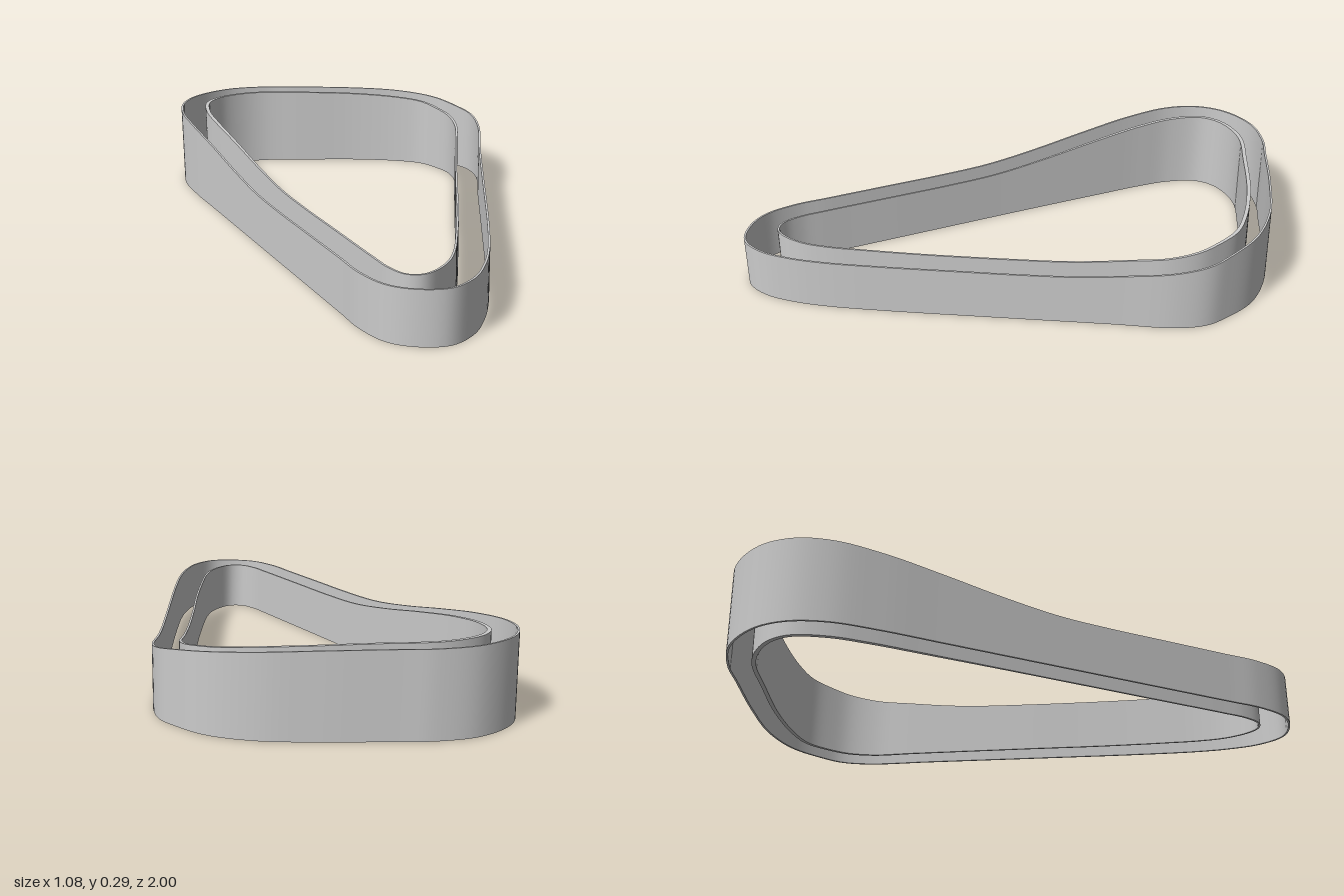
import * as THREE from 'three';

const STEPS = 240;

// Height of the top edge: level at the front, rising in an S-curve to the back
const PROFILE = [[-1, 0.29], [-0.8, 0.285], [-0.6, 0.268], [-0.4, 0.24], [-0.2, 0.208],
  [0, 0.184], [0.2, 0.178], [0.4, 0.178], [1, 0.178]];
const rise = new THREE.CatmullRomCurve3(PROFILE.map(([z, y]) => new THREE.Vector3(0, y, z)));
const riseSamples = rise.getPoints(200);
function topHeight(z) {
  const k = riseSamples.findIndex(p => p.z >= z);
  if (k < 0) return 0.178;
  if (k === 0) return 0.29;
  const a = riseSamples[k - 1], b = riseSamples[k];
  return THREE.MathUtils.mapLinear(z, a.z, b.z, a.y, b.y);
}

// Plan outlines as [x, z], running left side, back, right side, front
const OUTER = [[-0.54, 0.4], [-0.54, 0], [-0.54, -0.4], [-0.54, -0.61], [-0.527, -0.767], [-0.48, -0.884],
  [-0.394, -0.963], [-0.246, -1], [-0.103, -0.968], [0, -0.915], [0.2, -0.81], [0.373, -0.7],
  [0.48, -0.58], [0.526, -0.45], [0.538, -0.37], [0.51, -0.265], [0.4, -0.074], [0.198, 0.28],
  [0, 0.624], [-0.103, 0.79], [-0.18, 0.89], [-0.262, 0.965], [-0.357, 0.998], [-0.447, 0.962],
  [-0.512, 0.89], [-0.54, 0.77], [-0.54, 0.65]];
const INNER = [[-0.45, 0.4], [-0.45, 0], [-0.45, -0.4], [-0.449, -0.61], [-0.437, -0.74], [-0.394, -0.852],
  [-0.33, -0.9], [-0.24, -0.915], [-0.145, -0.9], [0, -0.83], [0.2, -0.725], [0.347, -0.62],
  [0.415, -0.545], [0.442, -0.45], [0.447, -0.375], [0.42, -0.28], [0.347, -0.16], [0.135, 0.2],
  [0, 0.435], [-0.13, 0.645], [-0.2, 0.75], [-0.262, 0.82], [-0.335, 0.865], [-0.384, 0.873],
  [-0.426, 0.847], [-0.447, 0.78], [-0.45, 0.68]];

// Thin closed wall: a four-cornered section swept around the outline
function wallGeometry(outline, thickness) {
  const curve = new THREE.CatmullRomCurve3(
    outline.map(([x, z]) => new THREE.Vector3(x, 0, z)), true, 'centripetal');
  const rails = [[], [], [], []];
  for (let i = 0; i < STEPS; i++) {
    const p = curve.getPointAt(i / STEPS);
    const t = curve.getTangentAt(i / STEPS);
    const w = thickness(p.z);
    const q = new THREE.Vector3(p.x - t.z * w, 0, p.z + t.x * w);
    const y = topHeight(p.z);
    rails[0].push(p);
    rails[1].push(p.clone().setY(y));
    rails[2].push(q.clone().setY(y));
    rails[3].push(q);
  }
  const positions = [], index = [];
  // Each face has its own vertices so the rims stay sharp
  for (let s = 0; s < 4; s++) {
    const base = s * 2 * STEPS;
    for (const rail of [rails[s], rails[(s + 1) % 4]])
      for (const v of rail) positions.push(v.x, v.y, v.z);
    for (let i = 0; i < STEPS; i++) {
      const n = (i + 1) % STEPS;
      const a = base + i, b = base + n, c = a + STEPS, d = b + STEPS;
      index.push(a, c, b, b, c, d);
    }
  }
  const g = new THREE.BufferGeometry();
  g.setAttribute('position', new THREE.Float32BufferAttribute(positions, 3));
  g.setIndex(index);
  g.computeVertexNormals();
  return g;
}

export function createModel() {
  const group = new THREE.Group();
  group.name = 'doubleWallRing';
  const material = new THREE.MeshStandardMaterial({ color: 0xcccccc });
  const add = (name, geometry) => {
    const mesh = new THREE.Mesh(geometry, material);
    mesh.name = name;
    group.add(mesh);
  };

  add('outerWall', wallGeometry(OUTER, () => 0.007));
  // The inner wall thickens slightly towards the back
  add('innerWall', wallGeometry(INNER, z => 0.007 + 0.007 * THREE.MathUtils.smoothstep(-z, 0, 0.8)));
  return group;
}
